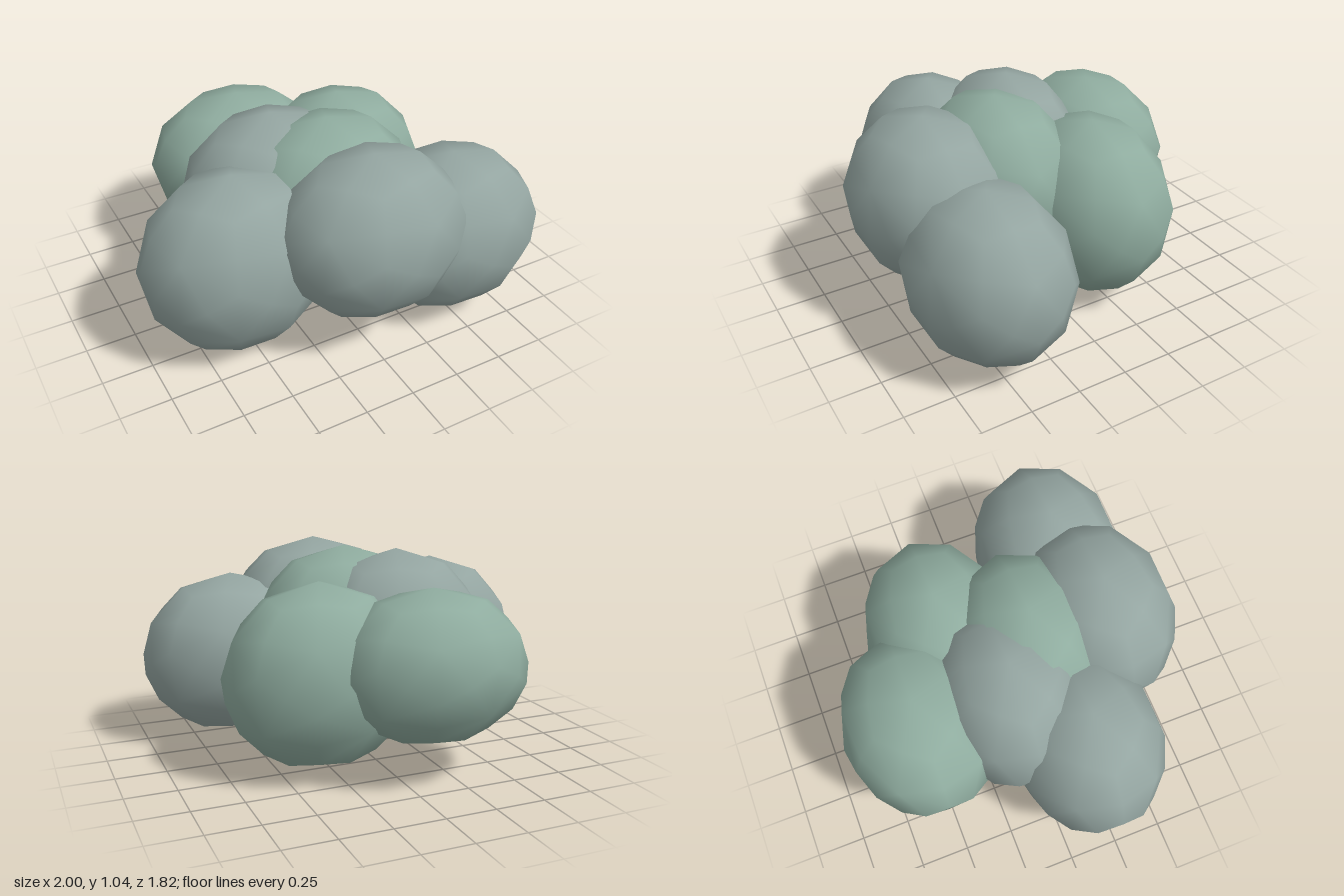
import * as THREE from 'three';

// Unit ball: an icosahedron standing on a corner, each face cut into six
// around its centre, with all points pushed out to the sphere.
function ballGeometry() {
  const ico = new THREE.IcosahedronGeometry(1, 0);
  ico.rotateX(-Math.atan((1 + Math.sqrt(5)) / 2));
  ico.rotateY(Math.PI / 2);
  const src = ico.getAttribute('position');
  const points = [];
  for (let f = 0; f < src.count; f += 3) {
    const corners = [0, 1, 2].map(k => new THREE.Vector3().fromBufferAttribute(src, f + k));
    const centre = corners[0].clone().add(corners[1]).add(corners[2]).normalize();
    for (let k = 0; k < 3; k++) {
      const a = corners[k];
      const b = corners[(k + 1) % 3];
      const mid = a.clone().add(b).normalize();
      points.push(a, mid, centre, mid, b, centre);
    }
  }
  const geometry = new THREE.BufferGeometry().setFromPoints(points);
  // Smooth normals point straight out from the centre
  geometry.setAttribute('normal', geometry.getAttribute('position').clone());
  return geometry;
}

export function createModel() {
  const model = new THREE.Group();
  model.name = 'foliageClump';
  const ball = ballGeometry();
  const grey = new THREE.MeshStandardMaterial({ color: 0x94a5a1 });
  const green = new THREE.MeshStandardMaterial({ color: 0x8fac9f });

  // name, material, centre, half height
  const lobes = [
    ['rightLobe', grey, [-0.53, 0.475, 0.23], 0.467],
    ['leftLobe', grey, [0.53, 0.455, 0.46], 0.427],
    ['frontLobe', grey, [0.04, 0.625, 0.52], 0.417],
    ['backLeftLobe', green, [0.295, 0.483, -0.25], 0.456],
    ['backLobe', green, [-0.165, 0.55, -0.52], 0.372],
    ['middleBackLobe', grey, [-0.195, 0.57, -0.05], 0.47],
    ['middleFrontLobe', green, [0.015, 0.615, 0.13], 0.43],
  ];
  for (const [name, material, centre, halfHeight] of lobes) {
    const lobe = new THREE.Mesh(ball, material);
    lobe.name = name;
    lobe.position.set(...centre);
    lobe.scale.set(0.478, halfHeight, 0.39);
    model.add(lobe);
  }
  return model;
}
